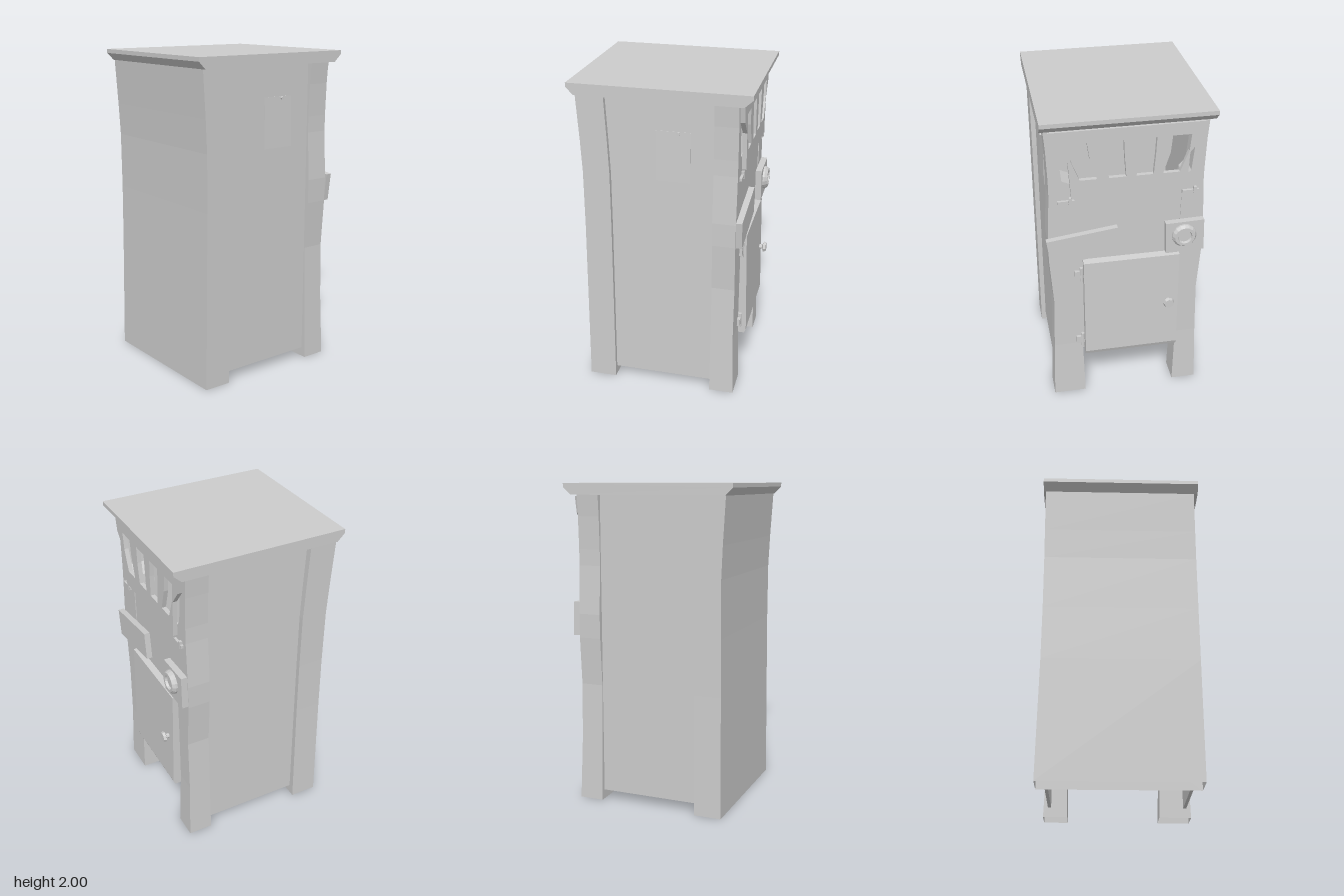
import * as THREE from 'three';

const mat = new THREE.MeshStandardMaterial({ color: 0xcccccc, flatShading: true, side: THREE.DoubleSide });

function add(parent, name, geo, x = 0, y = 0, z = 0) {
  const m = new THREE.Mesh(geo, mat);
  m.name = name;
  m.position.set(x, y, z);
  parent.add(m);
  return m;
}

const box = (w, h, d) => new THREE.BoxGeometry(w, h, d);

// Open-ended tube through rows of equal-length rings; section(level) gives [x, z] corners
function loft(levels, section) {
  const pos = [], idx = [];
  let n = 0;
  levels.forEach((l) => {
    const ring = section(l);
    n = ring.length;
    ring.forEach(([x, z]) => pos.push(x, l[0], z));
  });
  for (let r = 0; r < levels.length - 1; r++) {
    for (let i = 0; i < n; i++) {
      const a = r * n + i, b = r * n + (i + 1) % n;
      idx.push(a, a + n, b, b, a + n, b + n);
    }
  }
  const g = new THREE.BufferGeometry();
  g.setAttribute('position', new THREE.Float32BufferAttribute(pos, 3));
  g.setIndex(idx);
  g.computeVertexNormals();
  return g;
}

// Side profile in [z, y], extruded across x
function sideExtrude(points, x0, x1) {
  const shape = new THREE.Shape(points.map(([z, y]) => new THREE.Vector2(-z, y)));
  const g = new THREE.ExtrudeGeometry(shape, { depth: x1 - x0, bevelEnabled: false });
  g.rotateY(Math.PI / 2);
  g.translate(x0, 0, 0);
  return g;
}

export function createModel() {
  const root = new THREE.Group();
  root.name = 'booth';

  // Roof slab with undercut front and back edges
  add(root, 'roof', sideExtrude(
    [[0.5, 1.93], [0.545, 1.975], [0.545, 2], [-0.54, 2], [-0.54, 1.975], [-0.49, 1.93]], -0.5, 0.5));

  // Front wall: hollow, open at the foot, flaring towards the roof
  const frontLevels = [[0, 0.487, 0.315, 0.486], [0.75, 0.478, 0.31, 0.477], [1.1, 0.474, 0.308, 0.477],
    [1.45, 0.474, 0.308, 0.48], [1.65, 0.483, 0.316, 0.483], [1.93, 0.5, 0.33, 0.486]];
  add(root, 'frontWall', loft(frontLevels,
    ([, f, b, w]) => [[0.475, b], [0.475, f], [-w, f], [-w, b]]));

  // Side walls, floor and back panel
  for (const s of [1, -1]) add(root, s > 0 ? 'leftWall' : 'rightWall', box(0.02, 1.87, 0.7), s * 0.435, 0.995, 0);
  add(root, 'floor', box(0.86, 0.1, 0.66), 0, 0.29, 0.01);
  add(root, 'backPanel', box(0.66, 1.2, 0.02), -0.03, 0.95, -0.445);

  // Wavy back posts, open at the foot: [y, outer x, inner x]
  const postLevels = [[0, 0.475, 0.27], [0.4, 0.462, 0.28], [0.75, 0.452, 0.28], [1.05, 0.472, 0.275],
    [1.2, 0.474, 0.275], [1.5, 0.458, 0.28], [1.56, 0.458, 0.29], [1.6, 0.458, 0.38], [1.8, 0.465, 0.4], [1.93, 0.475, 0.4]];
  for (const s of [1, -1]) {
    add(root, s > 0 ? 'leftBackPost' : 'rightBackPost', loft(postLevels, ([y, o, i]) => {
      const inner = s > 0 ? i : -(i + (i < 0.3 ? 0.05 : 0));
      const back = -0.46 - 0.012 * Math.max(0, 1 - y / 0.4);
      const ring = [[s * o, -0.318], [s * o, back], [inner, back], [inner, -0.318]];
      return s > 0 ? ring.reverse() : ring;
    }));
  }

  // Grille board with four fanned slots
  const board = new THREE.Shape([[0.45, 1.92], [0.43, 1.82], [0.345, 1.73], [0.33, 1.5],
    [-0.35, 1.5], [-0.36, 1.73], [-0.43, 1.82], [-0.45, 1.92]].map((p) => new THREE.Vector2(...p)));
  for (const [top, mid, low] of [[0.29, 0.275, 0.23], [0.08, 0.075, 0.06], [-0.11, -0.105, -0.1], [-0.31, -0.3, -0.255]]) {
    board.holes.push(new THREE.Path([[top + 0.055, 1.845], [mid + 0.055, 1.74], [low + 0.05, 1.61],
      [low - 0.05, 1.61], [mid - 0.055, 1.74], [top - 0.055, 1.845]].map((p) => new THREE.Vector2(...p))));
  }
  add(root, 'grilleBoard', new THREE.ExtrudeGeometry(board, { depth: 0.027, bevelEnabled: false }), 0, 0, -0.487);

  // Latches below the grille
  for (const x of [0.36, -0.38]) {
    const latch = new THREE.Group();
    latch.name = 'latch';
    latch.position.set(x, 1.465, -0.468);
    add(latch, 'latchBar', box(0.1, 0.018, 0.016));
    add(latch, 'latchPin', box(0.018, 0.045, 0.022), -0.025, 0.005, 0);
    root.add(latch);
  }

  // Crooked plank
  add(root, 'plank', box(0.43, 0.175, 0.037), 0.262, 1.162, -0.481).rotation.z = -0.13;

  // Lock plate with round dial
  add(root, 'lockPlate', box(0.235, 0.21, 0.04), -0.352, 1.165, -0.48).rotation.z = -0.03;
  const dial = new THREE.LatheGeometry([[0.075, 0], [0.075, 0.012], [0.062, 0.03], [0.045, 0.03], [0.04, 0.015], [0, 0.015]]
    .map((p) => new THREE.Vector2(...p)), 16);
  dial.rotateX(-Math.PI / 2);
  add(root, 'dial', dial, -0.345, 1.18, -0.5);

  // Door, slightly thicker at the foot, with a bevelled lower edge
  add(root, 'door', sideExtrude(
    [[-0.455, 0.335], [-0.5, 0.335], [-0.511, 0.362], [-0.495, 1.035], [-0.455, 1.045]], -0.325, 0.268));

  // Door knob
  const knob = new THREE.LatheGeometry([[0.016, 0], [0.016, 0.02], [0.036, 0.028], [0.03, 0.045], [0, 0.045]]
    .map((p) => new THREE.Vector2(...p)), 8);
  knob.rotateX(-Math.PI / 2);
  add(root, 'doorKnob', knob, -0.26, 0.7, -0.503);

  // Hinges
  for (const y of [0.945, 0.435]) {
    add(root, 'hingePlate', box(0.05, 0.05, 0.02), 0.295, y, -0.468);
    add(root, 'hingePin', new THREE.CylinderGeometry(0.011, 0.011, 0.1, 8), 0.28, y, -0.472);
  }

  // Note nailed to the left wall
  add(root, 'note', box(0.004, 0.31, 0.21), 0.449, 1.585, -0.075).rotation.z = 0.02;
  const nail = add(root, 'noteNail', new THREE.CylinderGeometry(0.01, 0.01, 0.016, 8), 0.451, 1.73, -0.105);
  nail.rotation.z = Math.PI / 2;

  return root;
}
